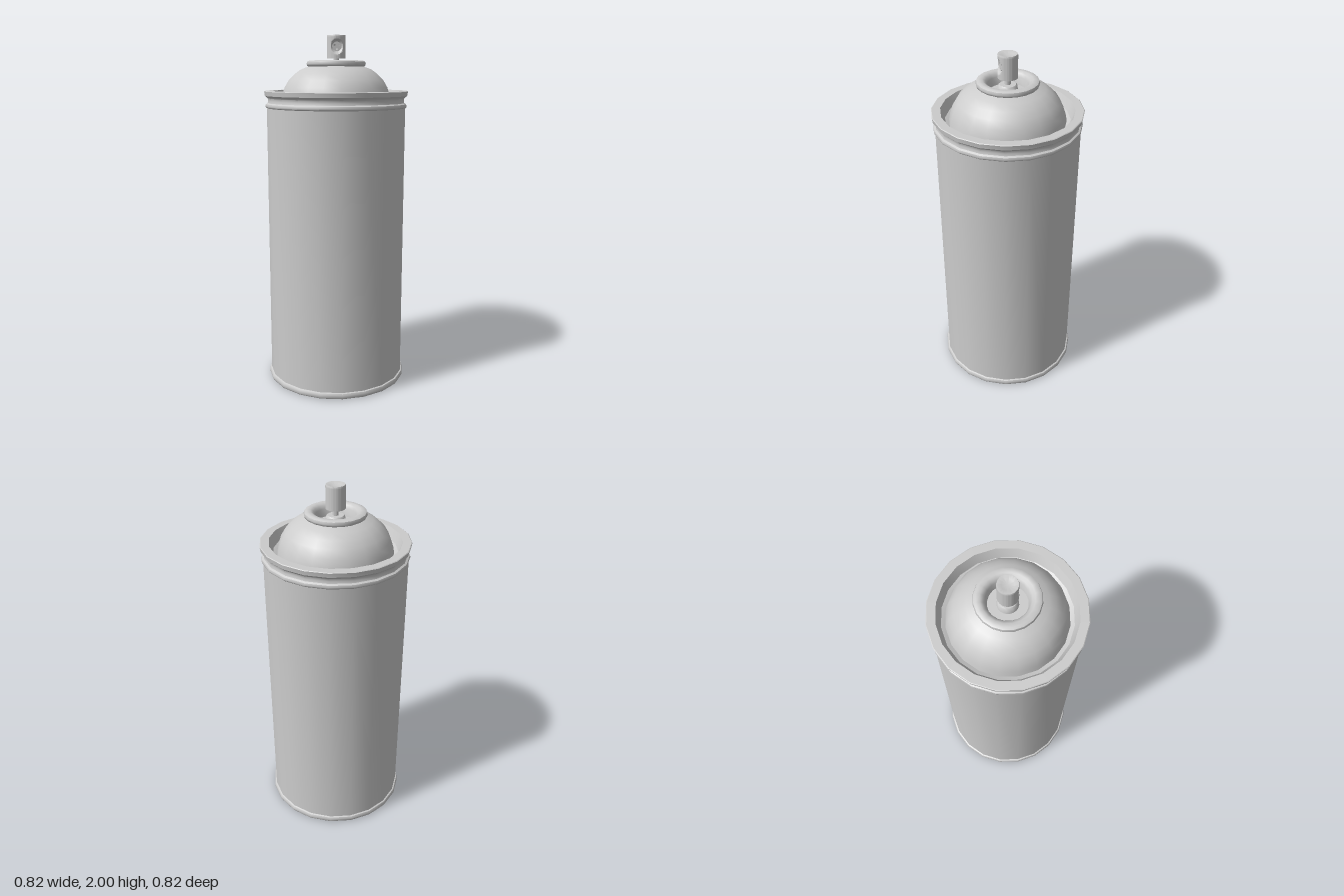
import * as THREE from 'three';
import { toCreasedNormals } from 'three/addons/utils/BufferGeometryUtils.js';

const SIDES = 20;
const material = new THREE.MeshStandardMaterial({ color: 0xcccccc, side: THREE.DoubleSide });

function addMesh(group, name, geometry) {
  const mesh = new THREE.Mesh(geometry, material);
  mesh.name = name;
  group.add(mesh);
  return mesh;
}

// Revolve [radius, height] pairs, running up the outside and in over the top
function lathe(profile, sides = SIDES, crease = 0.65) {
  const points = profile.map(([r, y]) => new THREE.Vector2(r, y));
  return toCreasedNormals(new THREE.LatheGeometry(points, sides), crease);
}

// Spray button: a cylinder whose front is scooped out by a ball
function nozzleGeometry() {
  const r = 0.053, bottom = 1.873, top = 1.994, rows = 26;
  const profile = [[0, bottom], [r, bottom]];
  for (let i = 1; i <= rows; i++) profile.push([r, bottom + (top - bottom) * i / rows]);
  profile.push([0.051, 2], [0.047, 2], [0.03, 1.994], [0, 1.99]);
  const geometry = new THREE.LatheGeometry(profile.map(p => new THREE.Vector2(...p)), 64);
  const pos = geometry.attributes.position;
  const ballY = 1.938, ballZ = 0.078, ballR = 0.05;
  for (let i = 0; i < pos.count; i++) {
    const x = pos.getX(i), dy = pos.getY(i) - ballY, z = pos.getZ(i);
    const d2 = ballR * ballR - x * x - dy * dy;
    if (z > 0.03 && d2 > 0) pos.setZ(i, Math.min(z, ballZ - Math.sqrt(d2)));
  }
  return toCreasedNormals(geometry, 0.5);
}

// Small spray disc with three swirl holes
function insertGeometry() {
  const shape = new THREE.Shape().absarc(0, 0, 0.026, 0, Math.PI * 2);
  for (let i = 0; i < 3; i++) {
    const a = Math.PI / 6 + i * Math.PI * 2 / 3;
    shape.holes.push(new THREE.Path().absarc(0.014 * Math.cos(a), 0.014 * Math.sin(a), 0.006, 0, Math.PI * 2, true));
  }
  return toCreasedNormals(new THREE.ExtrudeGeometry(shape, { depth: 0.008, bevelEnabled: false, curveSegments: 12 }), 0.6);
}

export function createModel() {
  const can = new THREE.Group();
  can.name = 'sprayCan';

  // Concave underside and rolled bottom rim
  addMesh(can, 'base', lathe([
    [0, 0.1], [0.12, 0.095], [0.24, 0.075], [0.385, 0.006], [0.395, 0],
    [0.402, 0.004], [0.406, 0.012], [0.406, 0.026], [0.402, 0.034], [0.394, 0.037],
  ]));

  // Main wall, with a bead and groove below the top rim
  addMesh(can, 'body', lathe([
    [0.394, 0.035], [0.394, 1.6], [0.4, 1.605], [0.402, 1.613], [0.399, 1.622],
    [0.389, 1.628], [0.386, 1.64], [0.388, 1.654], [0.396, 1.662],
  ]));

  // Flat top rim dropping into a trough around the dome
  addMesh(can, 'topRim', lathe([
    [0.396, 1.662], [0.404, 1.668], [0.408, 1.692], [0.404, 1.695],
    [0.359, 1.695], [0.336, 1.64], [0.313, 1.63],
  ], SIDES, 0.5));

  addMesh(can, 'dome', lathe([
    [0.315, 1.63], [0.307, 1.67], [0.292, 1.715], [0.268, 1.755],
    [0.235, 1.788], [0.2, 1.813], [0.155, 1.83],
  ]));

  // Rolled collar and sunken valve cup
  addMesh(can, 'collar', lathe([
    [0.155, 1.828], [0.164, 1.833], [0.168, 1.844], [0.164, 1.856], [0.152, 1.862],
    [0.132, 1.862], [0.117, 1.853], [0.108, 1.836], [0.1, 1.795],
    [0.055, 1.795], [0.05, 1.83], [0.044, 1.836], [0, 1.836],
  ], SIDES, 0.75));

  addMesh(can, 'stem', lathe([[0.016, 1.83], [0.016, 1.88]], 16));
  addMesh(can, 'nozzle', nozzleGeometry());
  addMesh(can, 'sprayInsert', insertGeometry()).position.set(0, 1.938, 0.03);

  return can;
}
